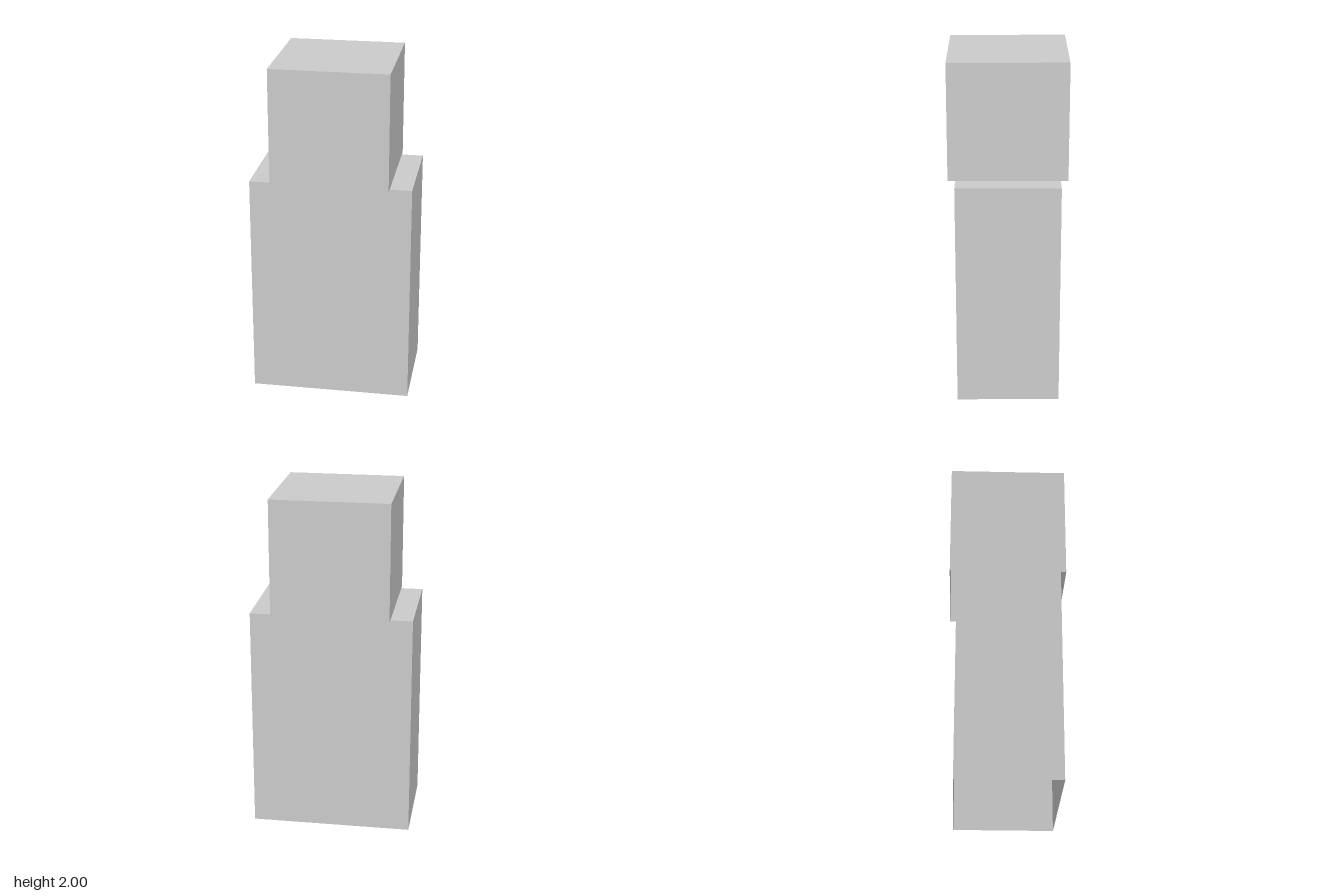
import * as THREE from 'three';

const material = new THREE.MeshStandardMaterial({ color: 0xcccccc, flatShading: true, side: THREE.DoubleSide });

// Thin-walled box with no underside, standing on height y
function openBox(name, width, height, depth, y) {
  const geometry = new THREE.BoxGeometry(width, height, depth);
  // BoxGeometry stores six indices per face; the fourth face is the underside
  const index = Array.from(geometry.index.array).filter((_, i) => Math.floor(i / 6) !== 3);
  geometry.setIndex(index);
  geometry.clearGroups();
  const mesh = new THREE.Mesh(geometry, material);
  mesh.name = name;
  mesh.position.y = y + height / 2;
  return mesh;
}

export function createModel() {
  const model = new THREE.Group();
  model.name = 'stackedBoxes';
  // Tall lower box and the cube resting on it, both open below
  model.add(openBox('lowerBox', 0.935, 1.32, 0.595, 0));
  model.add(openBox('upperCube', 0.68, 0.68, 0.68, 1.32));
  return model;
}
